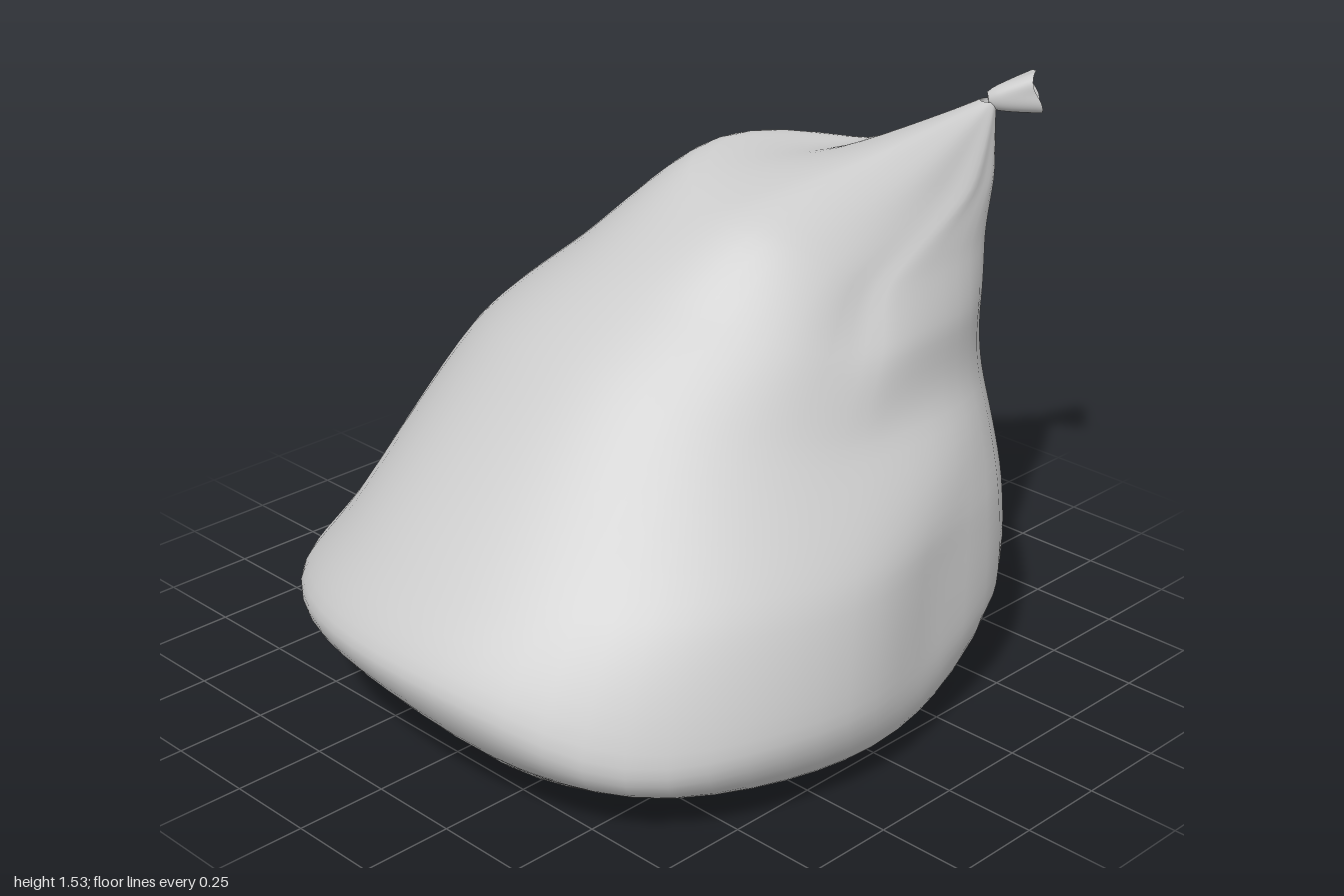
import * as THREE from 'three';

const SIDES = 56;

// Joins closed rings of points (listed from bottom to top) into a smooth skin.
function loft(rings, material, name) {
  const n = rings[0].length, index = [];
  for (let i = 0; i < rings.length - 1; i++) {
    for (let j = 0; j < n; j++) {
      const a = i * n + j, b = i * n + (j + 1) % n;
      index.push(a, a + n, b, b, a + n, b + n);
    }
  }
  const geometry = new THREE.BufferGeometry().setFromPoints(rings.flat());
  geometry.setIndex(index);
  geometry.computeVertexNormals();
  const mesh = new THREE.Mesh(geometry, material);
  mesh.name = name;
  return mesh;
}

// Sack outline, one row per level:
// centre x, centre z, then x/y of the -x side, x/y of the +x side, z/y of the front, z/y of the back
const LEVELS = [
  [0, 0.05, 0, 0.03, 0, 0.03, 0.05, 0.03, 0.05, 0.03],
  [0, 0.05, -0.63, 0.01, 0.60, 0.005, 0.69, 0.005, -0.57, 0.005],
  [0, 0.08, -0.82, 0.13, 0.81, 0.08, 0.91, 0.16, -0.77, 0.16],
  [0, 0.14, -0.87, 0.25, 0.87, 0.24, 1.00, 0.36, -0.83, 0.29],
  [0, 0.06, -0.77, 0.43, 0.80, 0.53, 0.84, 0.57, -0.83, 0.53],
  [0.02, -0.12, -0.64, 0.85, 0.63, 0.80, 0.45, 0.95, -0.88, 0.71],
  [0.05, -0.25, -0.41, 1.10, 0.575, 0.99, 0.21, 1.13, -0.85, 0.90],
  [0.16, -0.34, -0.14, 1.36, 0.50, 1.13, -0.05, 1.30, -0.86, 1.10],
  [0.28, -0.68, 0.07, 1.325, 0.43, 1.27, -0.46, 1.385, -0.87, 1.28],
  [0.33, -0.872, 0.308, 1.45, 0.352, 1.45, -0.85, 1.45, -0.892, 1.45],
];

// Smooth blend of every column of the level table
function levelAt(u) {
  const last = LEVELS.length - 1;
  const i = Math.min(Math.floor(u), last - 1), t = u - i;
  const row = (k) => LEVELS[THREE.MathUtils.clamp(k, 0, last)];
  return LEVELS[0].map((_, c) => {
    const [p, a, b, q] = [row(i - 1)[c], row(i)[c], row(i + 1)[c], row(i + 2)[c]];
    const m0 = (b - p) * 0.4, m1 = (q - a) * 0.4;
    const t2 = t * t, t3 = t2 * t;
    return a * (2 * t3 - 3 * t2 + 1) + m0 * (t3 - 2 * t2 + t) + b * (3 * t2 - 2 * t3) + m1 * (t3 - t2);
  });
}

// Soft dent or bulge centred on a level and an angle
function bump(u, angle, u0, angle0, du, da) {
  const d = Math.atan2(Math.sin(angle - angle0), Math.cos(angle - angle0));
  return Math.exp(-(((u - u0) / du) ** 2) - (d / da) ** 2);
}

function sackRing(u) {
  const [cx, cz, xl, yl, xr, yr, zf, yf, zb, yb] = levelAt(u);
  const pleat = 0.025 * Math.exp(-(((u - 8.2) / 0.6) ** 2));
  return Array.from({ length: SIDES }, (_, j) => {
    const a = (j / SIDES) * Math.PI * 2, c = Math.cos(a), s = Math.sin(a);
    const k = 1 + pleat * Math.cos(8 * a)
      // fuller corners: back right, back left, front
      + 0.10 * bump(u, a, 4, -0.8, 1.6, 0.4)
      + 0.13 * bump(u, a, 7.0, -0.8, 1.5, 0.4)
      + 0.09 * bump(u, a, 7.2, -2.4, 1.3, 0.45)
      + 0.045 * bump(u, a, 2.4, 0.8, 1.3, 0.4)
      // underside drawn in at the front and the back left
      - 0.08 * bump(u, a, 1.2, 1.75, 0.9, 0.4)
      - 0.10 * bump(u, a, 1.4, -2.35, 0.8, 0.55)
      // fold and pocket on the +x side
      - 0.04 * bump(u, a, 3.3, -0.3, 0.8, 0.2)
      - 0.05 * bump(u, a, 6.6, 0.3, 0.9, 0.2)
      + 0.05 * bump(u, a, 4.7, -0.3, 0.5, 0.3);
    const x = cx + k * c * (c > 0 ? xr - cx : cx - xl);
    const z = cz + k * s * (s > 0 ? zf - cz : cz - zb);
    const y = c * c * (c > 0 ? yr : yl) + s * s * (s > 0 ? yf : yb)
      // underside raised at the front and the back left, sagging between
      + 0.05 * bump(u, a, 1.7, 1.75, 0.9, 0.4)
      + 0.06 * bump(u, a, 1.7, -2.35, 0.8, 0.6)
      - 0.06 * bump(u, a, 2.9, 0.8, 0.7, 0.35);
    return new THREE.Vector3(x, Math.max(y, 0), z);
  });
}

// Open end of the bag beyond the tie, slightly ruffled
function tailRing(t) {
  const start = new THREE.Vector3(0.33, 1.45, -0.872), end = new THREE.Vector3(0.422, 1.475, -0.957);
  const axis = end.clone().sub(start).normalize();
  const side = new THREE.Vector3(0, 1, 0).cross(axis).normalize();
  const up = axis.clone().cross(side);
  const r = 0.02 + 0.036 * Math.pow(t, 0.7);
  return Array.from({ length: SIDES }, (_, j) => {
    const a = (j / SIDES) * Math.PI * 2;
    const k = r * (1 + 0.09 * t * Math.cos(4 * a + 2.6));
    return start.clone().lerp(end, t * (1 + 0.06 * Math.sin(3 * a)))
      .addScaledVector(side, k * Math.cos(a))
      .addScaledVector(up, -k * 1.08 * Math.sin(a));
  });
}

export function createModel() {
  const group = new THREE.Group();
  group.name = 'tiedSack';
  const cloth = new THREE.MeshStandardMaterial({ color: 0xcccccc, side: THREE.DoubleSide });

  // Sack body from the base up to the tie
  const steps = 63, body = [];
  for (let i = 0; i <= steps; i++) body.push(sackRing((i / steps) * (LEVELS.length - 1)));
  group.add(loft(body, cloth, 'sackBody'));

  // Flared end
  const tail = [];
  for (let i = 0; i <= 8; i++) tail.push(tailRing(i / 8));
  group.add(loft(tail, cloth, 'tiedEnd'));

  return group;
}
